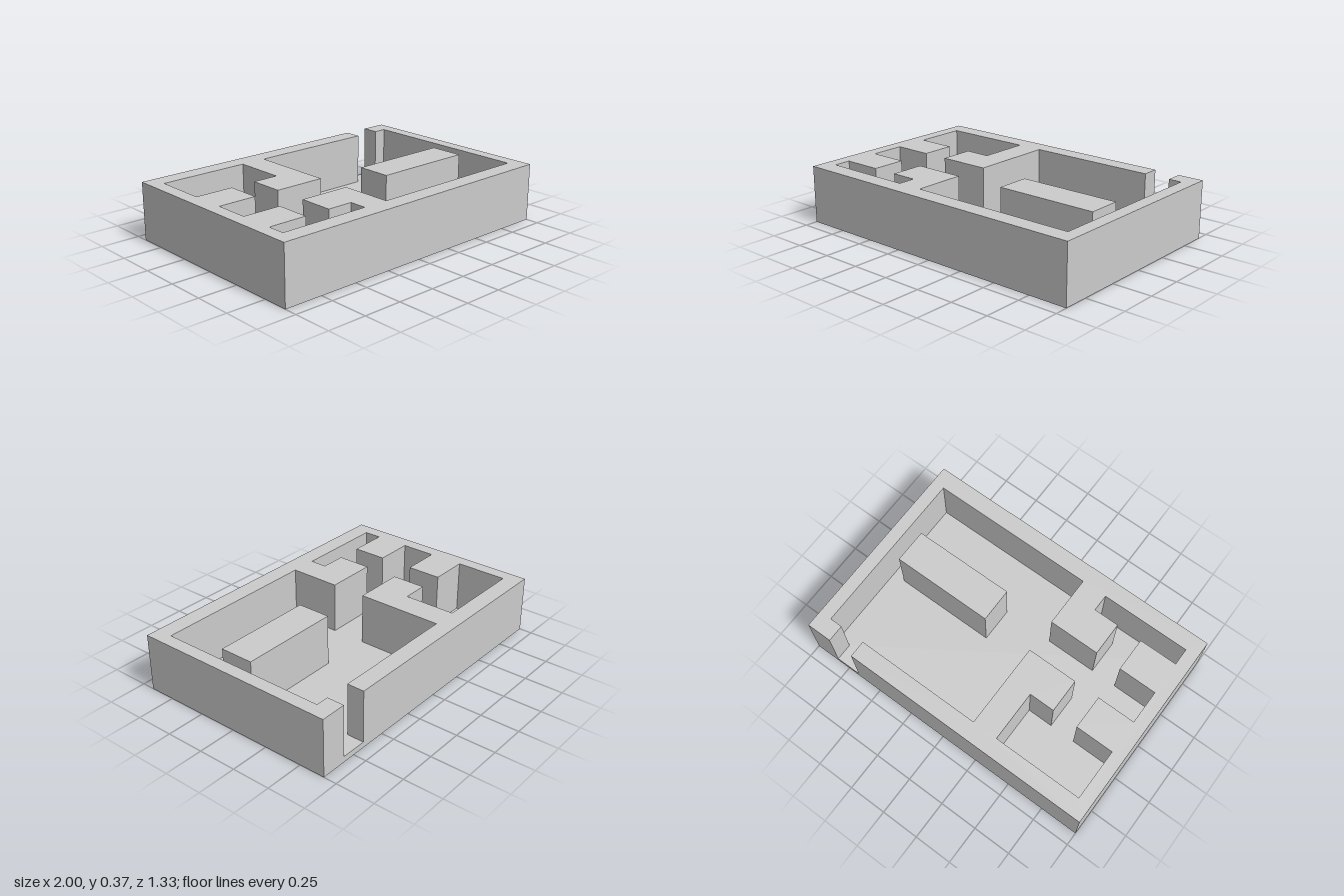
import * as THREE from 'three';

const HEIGHT = 0.37, FLOOR = 0.037;
// Plan grid: 24 columns across the width, 12 rows across the depth
const COL = 2 / 24, ROW = (4 / 3) / 12;

// Wall plan in [column, row], row 0 at the back; the loop runs through the doorway
const WALL_PLAN = [
  // outer face
  [20, 0], [0, 0], [0, 12], [24, 12], [24, 0], [22, 0],
  // main hall, right and front
  [22, 1], [23, 1], [23, 11], [10, 11], [10, 8],
  // corridor to the front left room
  [6, 8], [6, 10], [8, 10], [8, 11], [1, 11], [1, 10], [4, 10], [4, 8],
  // left alcove
  [1, 8], [1, 6], [4, 6],
  // back left room
  [4, 4], [1, 4], [1, 1], [8, 1], [8, 4], [6, 4], [6, 6],
  // main hall, back
  [10, 6], [10, 1], [20, 1],
];

export function createModel() {
  const model = new THREE.Group();
  model.name = 'floorPlan';
  const material = new THREE.MeshStandardMaterial({ color: 0xcccccc, flatShading: true });

  const add = (name, geometry) => {
    const mesh = new THREE.Mesh(geometry, material);
    mesh.name = name;
    model.add(mesh);
  };

  // Raise a plan outline from the floor to full height
  const raise = (plan) => {
    const points = plan.map(([c, r]) => new THREE.Vector2(c * COL - 1, 2 / 3 - r * ROW));
    return new THREE.ExtrudeGeometry(new THREE.Shape(points), {
      depth: HEIGHT - FLOOR, bevelEnabled: false,
    }).rotateX(-Math.PI / 2).translate(0, FLOOR, 0);
  };

  // Floor slab
  add('floor', new THREE.BoxGeometry(2, FLOOR, 4 / 3).translate(0, FLOOR / 2, 0));

  // Walls around the connected rooms
  add('walls', raise(WALL_PLAN));

  // Free-standing block in the main hall
  add('hallBlock', raise([[14, 6], [14, 8], [22, 8], [22, 6]]));

  return model;
}
